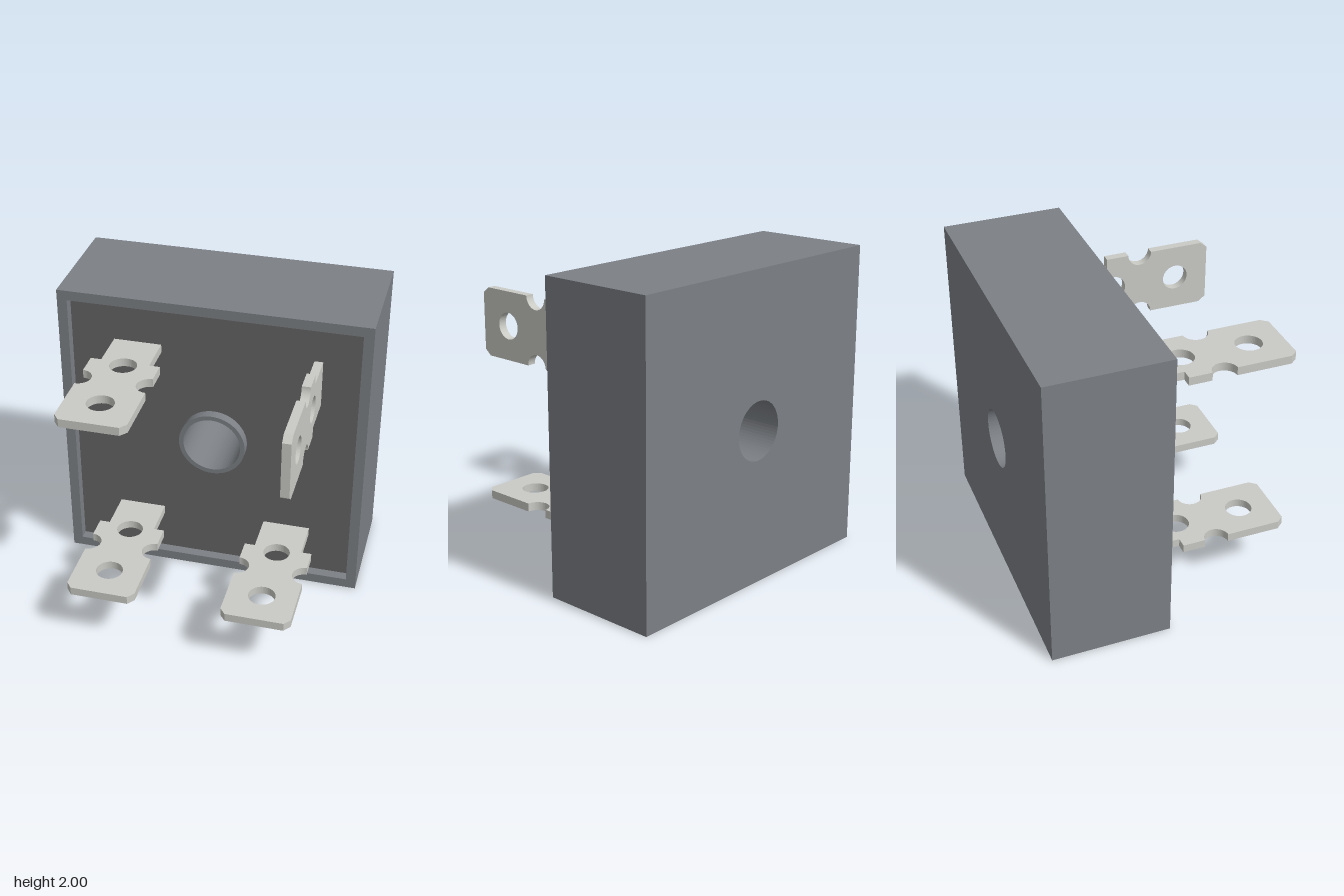
import * as THREE from 'three';

const BACK = -0.845, WALL = 0.065, RIM = -0.065, FILL = -0.13;

const bodyMat = new THREE.MeshStandardMaterial({ color: 0x7c8085 });
const fillMat = new THREE.MeshStandardMaterial({ color: 0x646464 });
const metalMat = new THREE.MeshStandardMaterial({ color: 0xcacac5 });

function square(half) {
  return new THREE.Shape([[-half, -half], [half, -half], [half, half], [-half, half]]
    .map(([x, y]) => new THREE.Vector2(x, y)));
}

function circle(r, y = 0) {
  return new THREE.Shape().absarc(0, y, r, 0, Math.PI * 2, false);
}

function withHoles(shape, ...holes) {
  shape.holes.push(...holes);
  return shape;
}

// Extrudes a shape between two z levels
function slab(name, shape, z0, z1, material) {
  const geometry = new THREE.ExtrudeGeometry(shape, { depth: z1 - z0, bevelEnabled: false, curveSegments: 32 });
  geometry.translate(0, 0, z0);
  const mesh = new THREE.Mesh(geometry, material);
  mesh.name = name;
  return mesh;
}

// Flat blade terminal along +z: narrow neck, shoulders, side notches, clipped tip
function terminalGeometry() {
  const half = 0.2225, neck = 0.155, thick = 0.055, notchY = 0.365, notchR = 0.08;
  const s = new THREE.Shape();
  s.moveTo(-neck, FILL - 0.02);
  s.lineTo(neck, FILL - 0.02);
  s.lineTo(neck, 0.135);
  s.lineTo(half, 0.135);
  s.lineTo(half, notchY - notchR);
  s.absarc(half, notchY, notchR, -Math.PI / 2, Math.PI / 2, true);
  s.lineTo(half, 0.8);
  s.lineTo(half - 0.037, 0.845);
  s.lineTo(-half + 0.037, 0.845);
  s.lineTo(-half, 0.8);
  s.lineTo(-half, notchY + notchR);
  s.absarc(-half, notchY, notchR, Math.PI / 2, -Math.PI / 2, true);
  s.lineTo(-half, 0.135);
  s.lineTo(-neck, 0.135);
  s.closePath();
  withHoles(s, circle(0.086, 0.175), circle(0.086, 0.62));
  const g = new THREE.ExtrudeGeometry(s, { depth: thick, bevelEnabled: false, curveSegments: 24 });
  g.translate(0, 0, -thick / 2);
  return g.rotateX(Math.PI / 2);
}

export function createModel() {
  const model = new THREE.Group();
  model.name = 'rectifierBlock';

  // Housing: back wall, surrounding walls and the sleeve of the mounting hole
  const housing = new THREE.Group();
  housing.name = 'housing';
  const inner = 1 - WALL;
  housing.add(
    slab('backWall', withHoles(square(1), circle(0.19)), BACK, BACK + WALL, bodyMat),
    slab('sideWalls', withHoles(square(1), square(inner)), BACK + WALL, RIM, bodyMat),
    slab('holeSleeve', withHoles(circle(0.22), circle(0.19)), BACK + WALL, RIM, bodyMat)
  );
  housing.position.y = 1;

  // Recessed filling around the sleeve
  const filling = slab('filling', withHoles(square(inner), circle(0.22)), BACK + WALL, FILL, fillMat);
  filling.position.y = 1;
  model.add(housing, filling);

  // Four terminals, one of them turned upright
  const blade = terminalGeometry();
  const terminals = [
    ['lowerRightTerminal', -0.5, 0.37, 0],
    ['lowerLeftTerminal', 0.5, 0.37, 0],
    ['upperRightTerminal', -0.5, 1.637, 0],
    ['upperLeftTerminal', 0.662, 1.533, Math.PI / 2],
  ];
  for (const [name, x, y, turn] of terminals) {
    const mesh = new THREE.Mesh(blade, metalMat);
    mesh.name = name;
    mesh.position.set(x, y, 0);
    mesh.rotation.z = turn;
    model.add(mesh);
  }
  return model;
}
